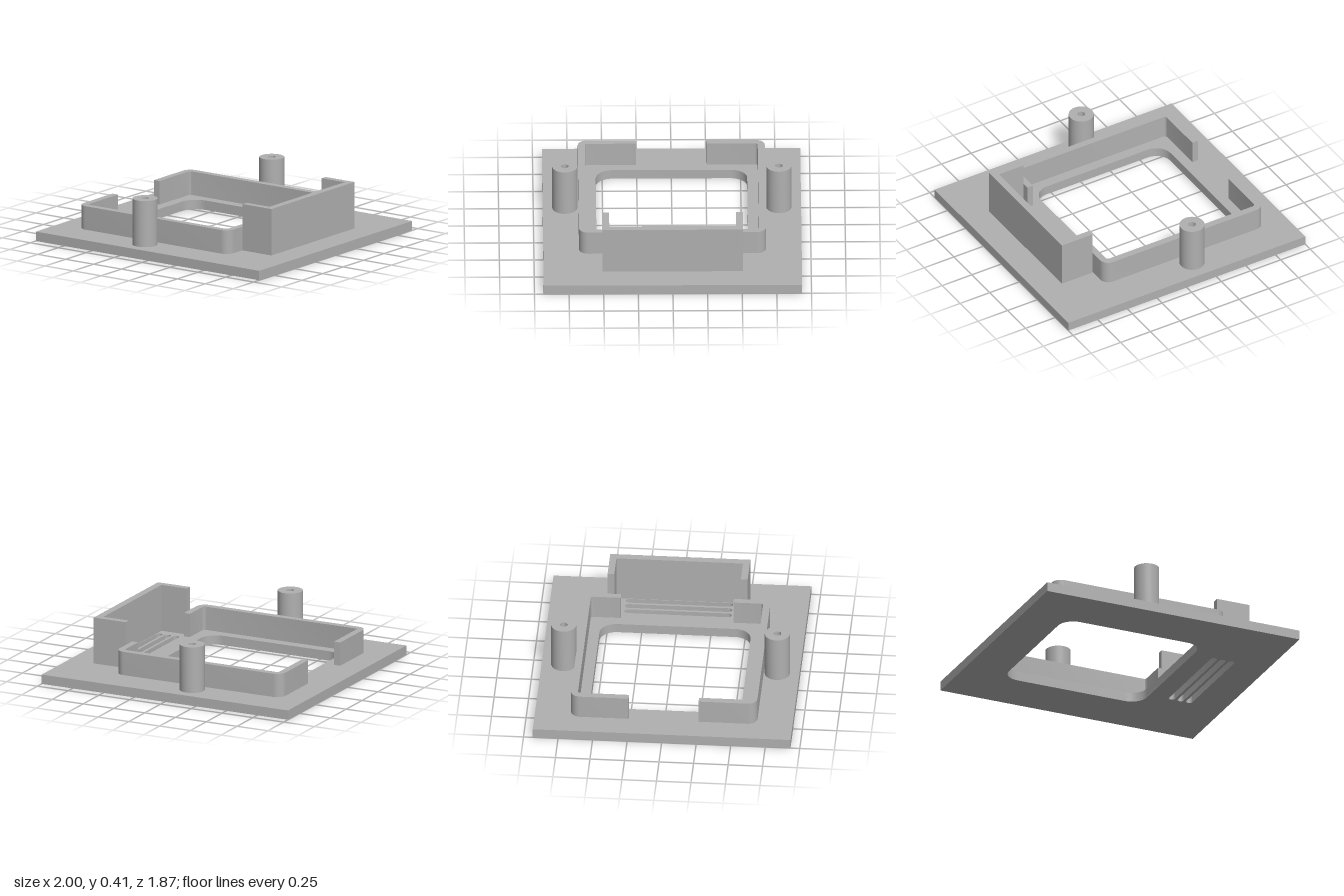
import * as THREE from 'three';
import { toCreasedNormals } from 'three/addons/utils/BufferGeometryUtils.js';

const BASE = 0.07;

// Right-angled outline from [x, z, cornerRadius] points, corners rounded by arcs
function outline(points) {
  const out = [];
  points.forEach(([x, z, r = 0], i) => {
    const p = new THREE.Vector2(x, z);
    if (!r) { out.push(p); return; }
    const [px, pz] = points[(i + points.length - 1) % points.length];
    const [nx, nz] = points[(i + 1) % points.length];
    const a = new THREE.Vector2(px - x, pz - z).normalize();
    const b = new THREE.Vector2(nx - x, nz - z).normalize();
    for (let k = 0; k <= 10; k++) {
      const t = (k / 10) * Math.PI / 2;
      out.push(p.clone()
        .addScaledVector(a, r * (1 - Math.sin(t)))
        .addScaledVector(b, r * (1 - Math.cos(t))));
    }
  });
  return out;
}

const rect = (x0, x1, z, r = 0) => outline([[x0, -z, r], [x1, -z, r], [x1, z, r], [x0, z, r]]);

// Stands a plan shape up between two heights
function raise(shape, y0, y1, curveSegments = 12) {
  const g = new THREE.ExtrudeGeometry(shape, { depth: y1 - y0, bevelEnabled: false, curveSegments });
  g.rotateX(-Math.PI / 2);
  g.translate(0, y0, 0);
  return toCreasedNormals(g, 0.6);
}

export function createModel() {
  const model = new THREE.Group();
  model.name = 'bezelMount';
  const grey = new THREE.MeshStandardMaterial({ color: 0xb0b0b0 });
  grey.name = 'plain grey';
  const add = (name, geometry) => {
    const mesh = new THREE.Mesh(geometry, grey);
    mesh.name = name;
    model.add(mesh);
  };

  // Base plate with rounded window and three vent slots
  const plate = new THREE.Shape(rect(-1, 1, 0.933));
  plate.holes.push(new THREE.Path(rect(-0.685, 0.407, 0.547, 0.12)));
  for (const x of [0.579, 0.647, 0.715]) {
    plate.holes.push(new THREE.Path(rect(x - 0.024, x + 0.024, 0.388, 0.0239)));
  }
  add('basePlate', raise(plate, 0, BASE));

  for (const s of [1, -1]) {
    const side = s > 0 ? 'back' : 'front';

    // Low locating wall, wrapping one half of the window
    const wall = outline([
      [-0.813, s * 0.253], [-0.813, s * 0.675, 0.068], [0.535, s * 0.675, 0.068], [0.535, s * 0.408],
      [0.487, s * 0.408], [0.487, s * 0.624, 0.02], [-0.763, s * 0.624, 0.02], [-0.763, s * 0.253],
    ]);
    add(side + 'LocatingWall', raise(new THREE.Shape(wall), BASE, 0.245));

    // Screw post with a blind hole
    const post = new THREE.Shape().absarc(-0.14, s * 0.773, 0.091, 0, Math.PI * 2);
    post.holes.push(new THREE.Path().absarc(-0.14, s * 0.773, 0.027, 0, Math.PI * 2, true));
    add(side + 'ScrewPost', raise(post, BASE, 0.413, 24));
  }

  // Tall three-sided wall around the vent slots
  const guard = outline([
    [0.538, -0.507], [0.797, -0.507], [0.797, 0.507], [0.538, 0.507],
    [0.538, 0.458], [0.743, 0.458], [0.743, -0.458], [0.538, -0.458],
  ]);
  add('ventGuard', raise(new THREE.Shape(guard), BASE, 0.415));

  return model;
}
